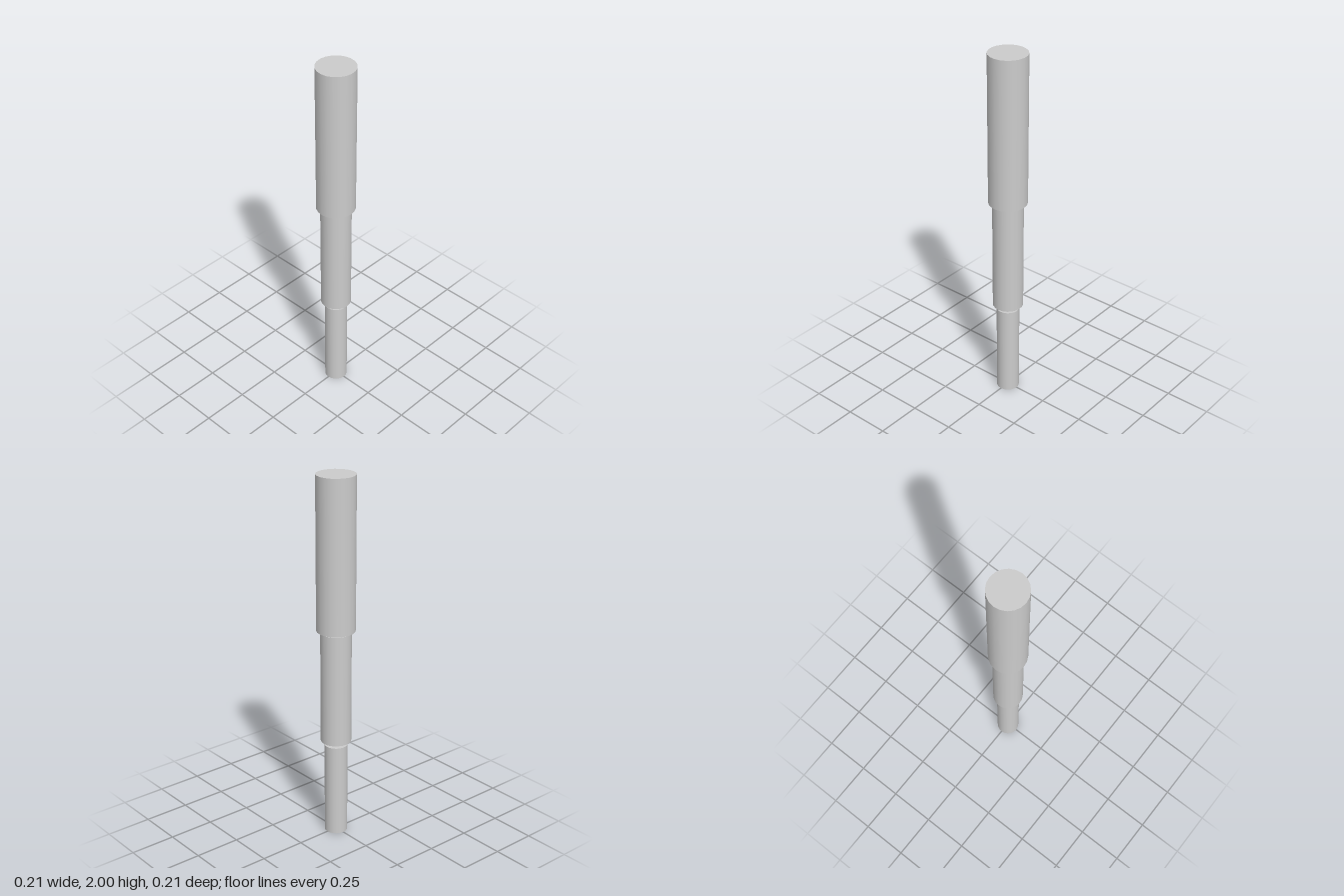
import * as THREE from 'three';

// Three stacked cylinders, widening upwards with small gaps between them
const SECTIONS = [
  { name: 'lowerSection', radius: 0.062, bottom: 0, top: 0.52 },
  { name: 'middleSection', radius: 0.0825, bottom: 0.544, top: 1.164 },
  { name: 'upperSection', radius: 0.1035, bottom: 1.175, top: 2 },
];

export function createModel() {
  const model = new THREE.Group();
  model.name = 'steppedRod';
  const material = new THREE.MeshStandardMaterial({ color: 0xcccccc });

  for (const { name, radius, bottom, top } of SECTIONS) {
    const geometry = new THREE.CylinderGeometry(radius, radius, top - bottom, 20);
    const section = new THREE.Mesh(geometry, material);
    section.name = name;
    section.position.y = (bottom + top) / 2;
    model.add(section);
  }
  return model;
}
